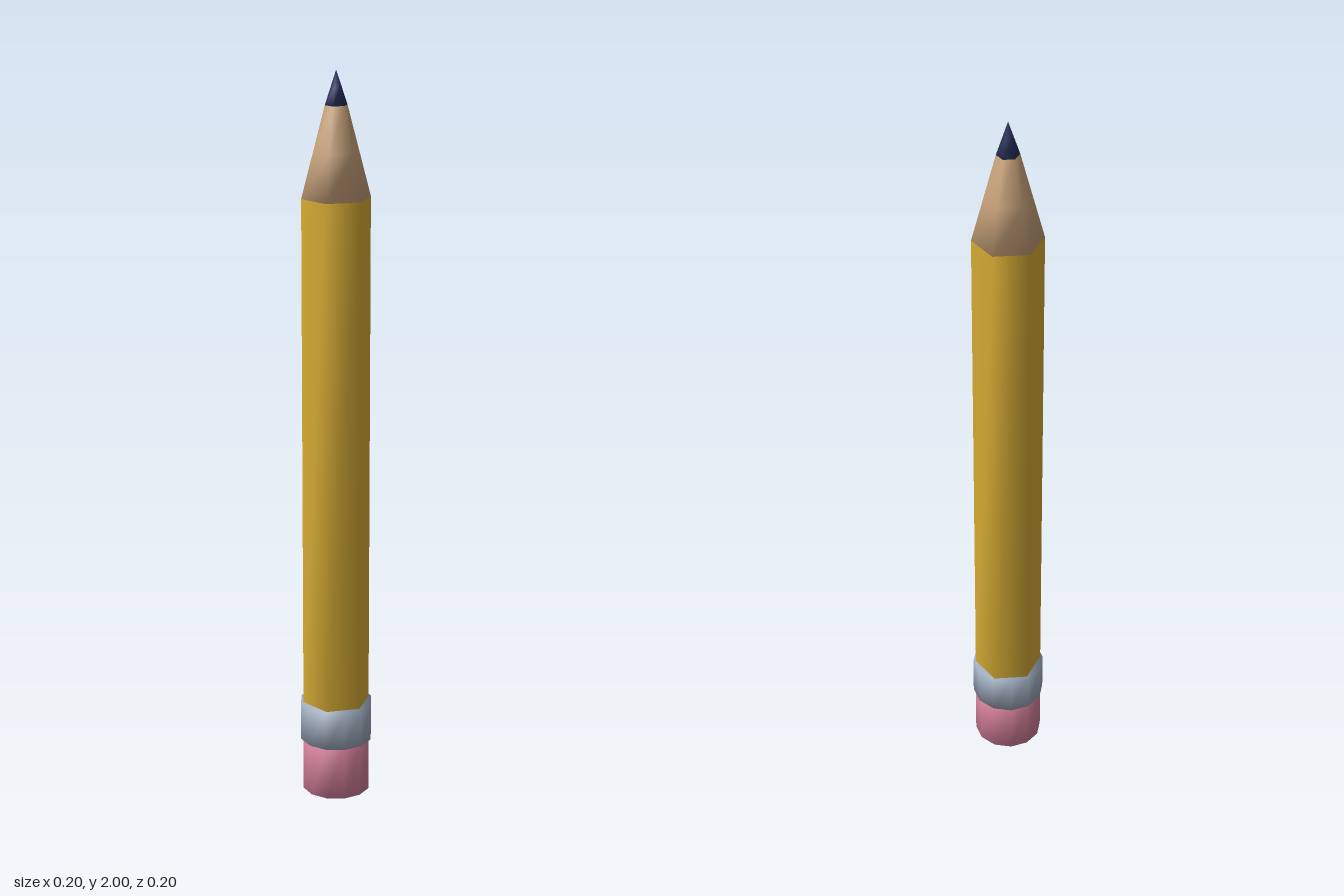
import * as THREE from 'three';
import { mergeVertices } from 'three/addons/utils/BufferGeometryUtils.js';

export function createModel() {
  const model = new THREE.Group();
  model.name = 'pencil';

  // Upright prism or taper between two heights, with normals shared across its rims
  function addSection(name, color, sides, y0, y1, r0, r1, rings = 1) {
    let geometry = new THREE.CylinderGeometry(r1, r0, y1 - y0, sides, rings);
    geometry.deleteAttribute('uv');
    geometry.deleteAttribute('normal');
    geometry = mergeVertices(geometry, 1e-4);
    geometry.computeVertexNormals();
    const mesh = new THREE.Mesh(geometry, new THREE.MeshStandardMaterial({ color }));
    mesh.name = name;
    mesh.position.y = (y0 + y1) / 2;
    model.add(mesh);
  }

  // Round end: eraser and metal band
  addSection('eraser', 0xd6809a, 12, 0, 0.15, 0.094, 0.094);
  addSection('ferrule', 0xa0adc0, 12, 0.15, 0.26, 0.1, 0.1);

  // Hexagonal shaft, sharpened wood and lead tip
  addSection('shaft', 0xd8ac34, 6, 0.26, 1.67, 0.093, 0.093);
  addSection('sharpenedWood', 0xc8a27a, 6, 1.67, 1.91, 0.093, 0.03, 2);
  addSection('leadTip', 0x28305a, 6, 1.91, 2, 0.03, 0, 2);

  return model;
}
